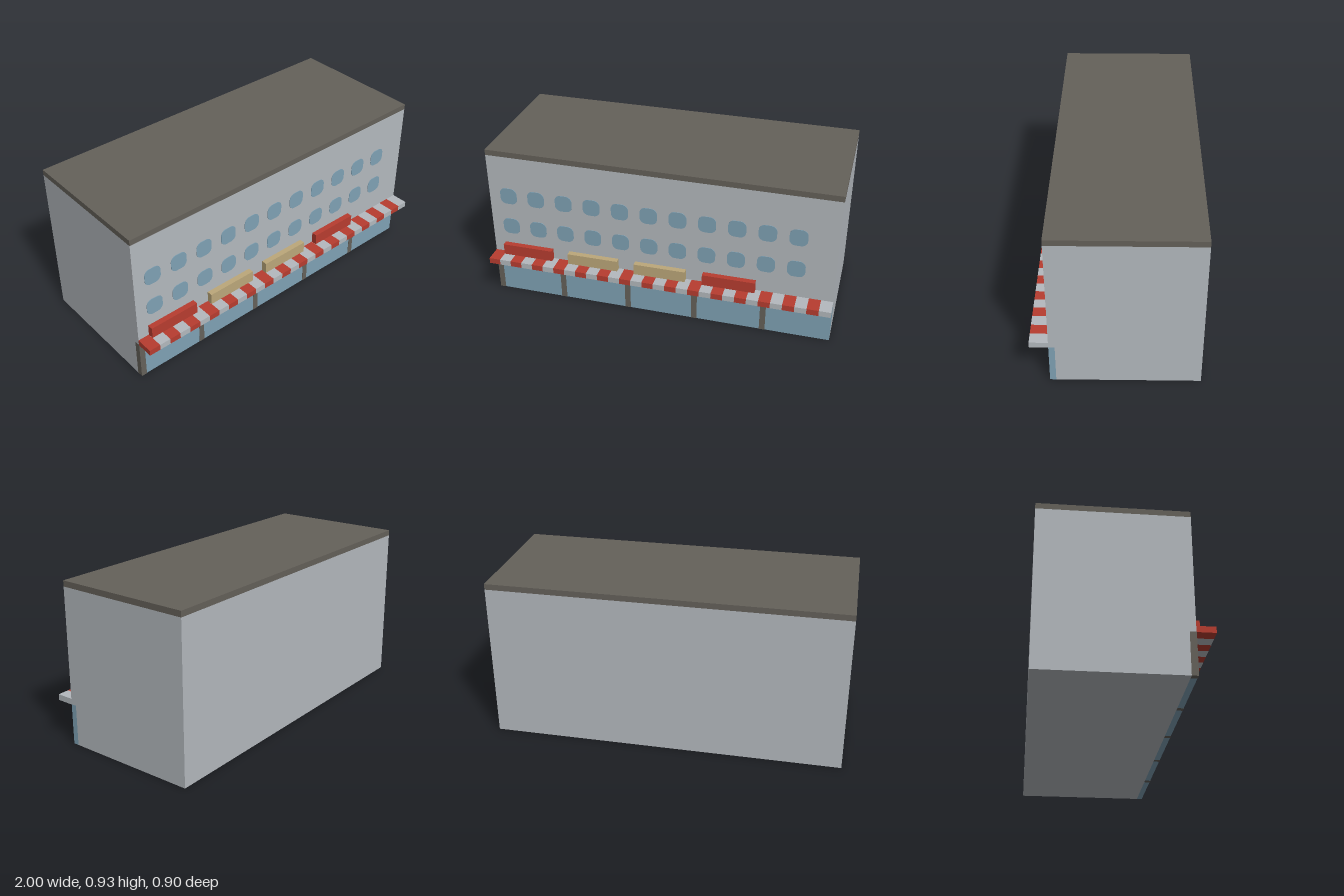
import * as THREE from 'three';

export function createModel() {
  const group = new THREE.Group();
  const mat = (name, color) => {
    const m = new THREE.MeshStandardMaterial({ color });
    m.name = name;
    return m;
  };
  const wall = mat('pale grey wall', 0xb4b9be);
  const dark = mat('dark roof', 0x65615a);
  const glass = mat('blue glass', 0x7fa2b5);
  const red = mat('red', 0xb83d30);
  const tan = mat('tan', 0xbca87a);

  const add = (name, geometry, material) => {
    const mesh = new THREE.Mesh(geometry, material);
    mesh.name = name;
    group.add(mesh);
    return mesh;
  };
  // Box given by its minimum and maximum corners
  const box = (name, material, x0, x1, y0, y1, z0, z1) => {
    const mesh = add(name, new THREE.BoxGeometry(x1 - x0, y1 - y0, z1 - z0), material);
    mesh.position.set((x0 + x1) / 2, (y0 + y1) / 2, (z0 + z1) / 2);
  };

  const front = 0.35, back = -0.45, recess = 0.317, shopTop = 0.235;

  // Main block: side profile with a notch for the shopfront
  const profile = new THREE.Shape([
    [back, 0], [recess, 0], [recess, shopTop], [front, shopTop], [front, 0.9], [back, 0.9],
  ].map(([z, y]) => new THREE.Vector2(z, y)));
  const block = new THREE.ExtrudeGeometry(profile, { depth: 2, bevelEnabled: false });
  block.rotateY(-Math.PI / 2).translate(1, 0, 0);
  add('building', block, wall);
  box('roof', dark, -1, 1, 0.9, 0.933, back, front);

  // Shopfront: five bays, each a pillar and a pane
  for (let i = 0; i < 5; i++) {
    const x = -1 + i * 0.4;
    box('pillar', dark, x, x + 0.033, 0, shopTop, recess, front + 0.002);
    box('shopWindow', glass, x + 0.033, x + 0.4, 0, shopTop, recess, front);
  }

  // Striped awning
  for (let i = 0; i < 30; i++) {
    const x = -1 + i / 15;
    box('awningStripe', i % 2 ? wall : red, x, x + 1 / 15, 0.233, 0.267, front, 0.45);
  }

  // Sign boards above the awning
  [red, tan, tan, red].forEach((material, i) => {
    const x = -0.933 + i * 0.4;
    box('signBoard', material, x, x + 0.3, 0.267, 0.333, front, 0.383);
  });

  // Upper windows: two rows of rounded squares
  const h = 0.05, r = 0.035;
  const s = new THREE.Shape();
  s.absarc(h - r, h - r, r, 0, Math.PI / 2);
  s.absarc(r - h, h - r, r, Math.PI / 2, Math.PI);
  s.absarc(r - h, r - h, r, Math.PI, Math.PI * 1.5);
  s.absarc(h - r, r - h, r, Math.PI * 1.5, Math.PI * 2);
  const pane = new THREE.ExtrudeGeometry(s, { depth: 0.003, bevelEnabled: false, curveSegments: 6 });
  for (const y of [0.45, 0.65]) {
    for (let i = 0; i < 11; i++) {
      add('upperWindow', pane, glass).position.set(-0.883 + i / 6, y, front);
    }
  }
  return group;
}
